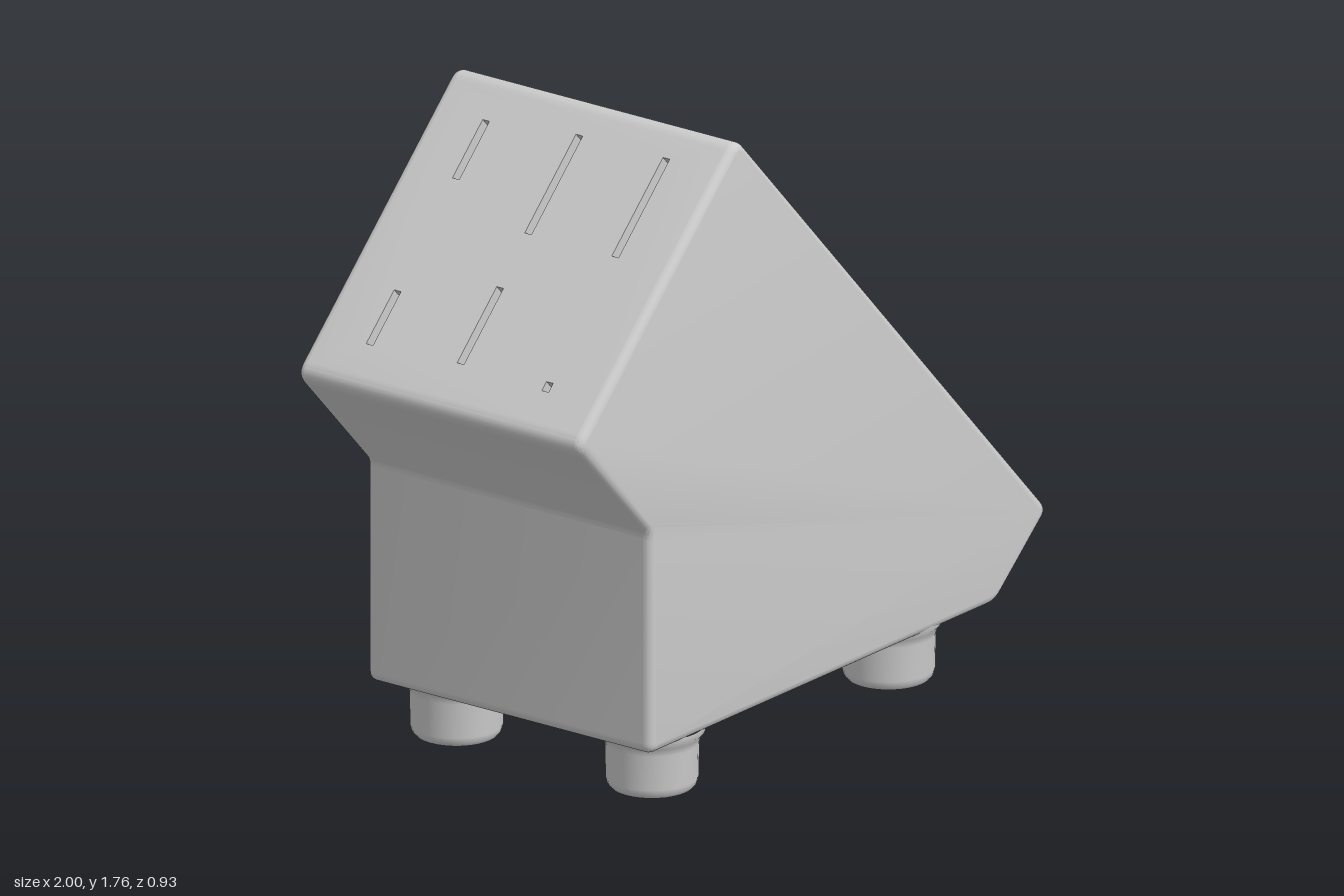
import * as THREE from 'three';
import { mergeGeometries, toCreasedNormals } from 'three/addons/utils/BufferGeometryUtils.js';

const HALF = 0.465; // half the block's depth in z
const BEVEL = 0.025;

// Side profile, counter-clockwise: x, y, length trimmed off for the corner rounding
const PROFILE = [
  [-0.322, 1.775, 0.045], // peak
  [-1.018, 1.115, 0.045], // upper right tip
  [-0.705, 0.785, 0.02], // inner corner
  [-0.705, 0.17, 0.03],
  [0.785, 0.155, 0.03],
  [1.01, 0.35, 0.035], // lower left tip
];

// Knife slots per profile edge: x from, x to, z, depth
const SLOTS = {
  0: [
    [-0.92, -0.8, -0.29, 0.25], [-0.55, -0.42, -0.29, 0.3],
    [-0.91, -0.74, 0, 0.3], [-0.62, -0.4, 0, 0.3],
    [-0.92, -0.9, 0.285, 0.1], [-0.62, -0.4, 0.285, 0.3],
  ],
  3: [
    [0.15, 0.25, -0.29, 0.05], [0.15, 0.38, 0, 0.06],
    [-0.53, -0.38, 0, 0.04], [0.08, 0.28, 0.29, 0.06],
  ],
  4: [[0.83, 0.935, 0, 0.08], [0.87, 0.9, -0.3, 0.03]],
};

const corner = (i) => new THREE.Vector2(PROFILE[i % 6][0], PROFILE[i % 6][1]);
const trim = (i) => PROFILE[i % 6][2];
const edgeDir = (i) => corner(i + 1).sub(corner(i)).normalize();

function profileShape() {
  const shape = new THREE.Shape();
  for (let i = 0; i < 6; i++) {
    const p = corner(i);
    const before = p.clone().addScaledVector(edgeDir((i + 5) % 6), -trim(i));
    const after = p.clone().addScaledVector(edgeDir(i), trim(i));
    if (i === 0) shape.moveTo(before.x, before.y);
    else shape.lineTo(before.x, before.y);
    shape.quadraticCurveTo(p.x, p.y, after.x, after.y);
  }
  shape.closePath();
  return shape;
}

function fromPositions(array) {
  const geo = new THREE.BufferGeometry();
  geo.setAttribute('position', new THREE.Float32BufferAttribute(array, 3));
  return geo;
}

// Drops the flat wall of each slotted edge so a pierced face can replace it
function openEdges(geo, edges) {
  const p = geo.attributes.position;
  const kept = [];
  for (let t = 0; t < p.count; t += 3) {
    const onEdge = edges.some((e) => {
      const a = corner(e), d = edgeDir(e);
      return [t, t + 1, t + 2].every((k) =>
        Math.abs((p.getX(k) - a.x) * d.y - (p.getY(k) - a.y) * d.x) < 1e-4);
    });
    if (onEdge) continue;
    for (let k = t; k < t + 3; k++) kept.push(p.getX(k), p.getY(k), p.getZ(k));
  }
  return fromPositions(kept);
}

function rectangle(path, u0, u1, v0, v1) {
  return path.moveTo(u0, v0).lineTo(u1, v0).lineTo(u1, v1).lineTo(u0, v1).closePath();
}

// Flat face along one edge, pierced by slots that have walls and a floor
function slottedFace(edge, slots) {
  const a = corner(edge), d = edgeDir(edge);
  const length = a.distanceTo(corner(edge + 1));
  const v = HALF - BEVEL, w = 0.011;
  const face = rectangle(new THREE.Shape(), trim(edge), length - trim(edge + 1), -v, v);
  const parts = [];
  for (const [x0, x1, z, depth] of slots) {
    const [u0, u1] = [x0, x1].map((x) => (x - a.x) / d.x).sort((m, n) => m - n);
    face.holes.push(rectangle(new THREE.Path(), u0, u1, z - w, z + w));
    // box without its back, mirrored to face inward and open upward
    const box = new THREE.BoxGeometry(u1 - u0, 2 * w, depth).toNonIndexed();
    const well = fromPositions(Array.from(box.attributes.position.array.slice(0, 90)));
    parts.push(well.scale(1, 1, -1).translate((u0 + u1) / 2, z, -depth / 2));
  }
  const flat = new THREE.ShapeGeometry(face).toNonIndexed();
  parts.push(fromPositions(Array.from(flat.attributes.position.array)));
  const basis = new THREE.Matrix4().makeBasis(
    new THREE.Vector3(d.x, d.y, 0), new THREE.Vector3(0, 0, 1), new THREE.Vector3(d.y, -d.x, 0));
  basis.setPosition(a.x, a.y, 0);
  return mergeGeometries(parts).applyMatrix4(basis);
}

export function createModel() {
  const model = new THREE.Group();
  model.name = 'knifeBlock';
  const material = new THREE.MeshStandardMaterial({ color: 0xcccccc });

  // Slanted block with softened edges
  const solid = new THREE.ExtrudeGeometry(profileShape(), {
    depth: 2 * (HALF - BEVEL), curveSegments: 8, bevelEnabled: true,
    bevelThickness: BEVEL, bevelSize: BEVEL, bevelOffset: -BEVEL, bevelSegments: 8,
  }).translate(0, 0, BEVEL - HALF);
  const edges = Object.keys(SLOTS).map(Number);
  const shell = openEdges(solid, edges);
  const faces = edges.map((e) => slottedFace(e, SLOTS[e]));
  const block = new THREE.Mesh(toCreasedNormals(mergeGeometries([shell, ...faces]), 0.3), material);
  block.name = 'slottedBlock';
  model.add(block);

  // Four round feet with a rounded rim and a small flare under the block
  const footProfile = [
    [0, 0], [0.095, 0], [0.11, 0.004], [0.118, 0.014], [0.122, 0.03],
    [0.124, 0.125], [0.13, 0.145], [0.14, 0.158], [0.14, 0.175],
  ].map(([r, y]) => new THREE.Vector2(r, y));
  const footGeometry = new THREE.LatheGeometry(footProfile, 32);
  for (const [side, x] of [['Right', -0.51], ['Left', 0.505]]) {
    for (const [end, z] of [['front', 0.322], ['back', -0.318]]) {
      const foot = new THREE.Mesh(footGeometry, material);
      foot.name = `${end}${side}Foot`;
      foot.position.set(x, 0, z);
      model.add(foot);
    }
  }
  return model;
}
